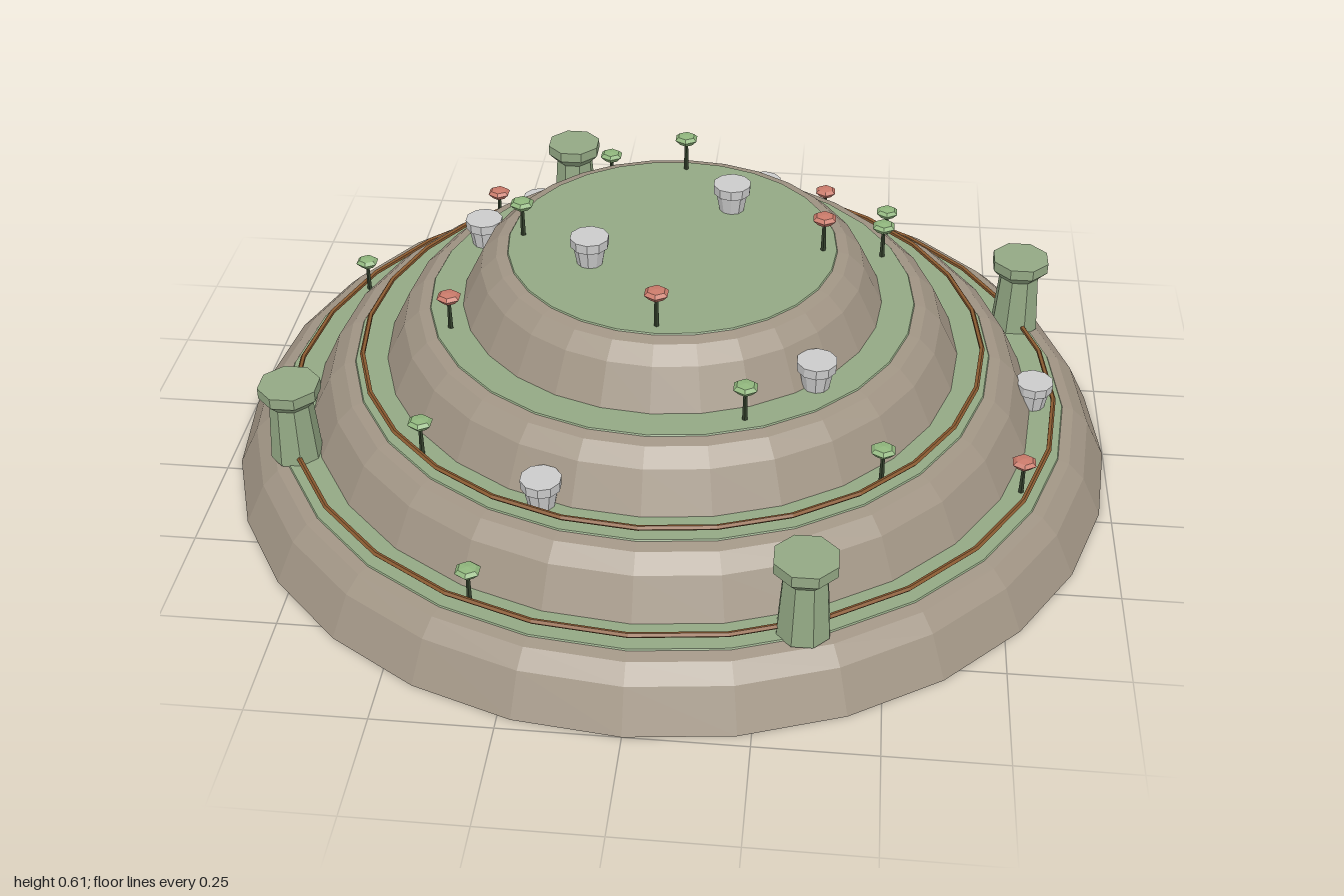
import * as THREE from 'three';

const SEGMENTS = 28;
const STEP = 0.128; // height of one tier

const mat = (color, extra = {}) => new THREE.MeshStandardMaterial({ color, flatShading: true, ...extra });
const earth = mat(0xa09484);
const grass = mat(0x93a884);
const wood = mat(0x8a5a30);
const stone = mat(0xcccccc, { side: THREE.DoubleSide });
const stemMat = mat(0x33402c);
const greenCap = mat(0x8fb57c);
const redCap = mat(0xc97a6a);

function lathe(name, points, segments, material) {
  const profile = points.map(([r, y]) => new THREE.Vector2(r, y));
  const mesh = new THREE.Mesh(new THREE.LatheGeometry(profile, segments), material);
  mesh.name = name;
  return mesh;
}

// One rounded earth step with a grass top
function makeTier(radius) {
  const tier = new THREE.Group();
  tier.name = 'tier';
  tier.add(lathe('earthBank', [
    [0, 0], [radius, 0], [radius - 0.045, 0.09], [radius - 0.08, 0.122], [radius - 0.105, STEP],
  ], SEGMENTS, earth));
  tier.add(lathe('grassTerrace', [
    [radius - 0.103, STEP - 0.004], [radius - 0.107, STEP + 0.003], [0, STEP + 0.003],
  ], SEGMENTS, grass));
  return tier;
}

// Thin rail that rings a terrace
function makeRail(radius, y) {
  const rail = new THREE.Mesh(new THREE.TorusGeometry(radius, 0.006, 5, SEGMENTS), wood);
  rail.name = 'rail';
  rail.rotation.x = Math.PI / 2;
  rail.position.y = y;
  return rail;
}

// Eight-sided watchtower with a flared head
function makeTower() {
  return lathe('tower', [
    [0, 0], [0.057, 0], [0.047, 0.14], [0.068, 0.162], [0.068, 0.187], [0, 0.187],
  ], 8, grass);
}

// Tapered pot with a thicker rim
function makePot() {
  return lathe('pot', [
    [0, 0], [0.028, 0], [0.036, 0.044], [0.042, 0.046], [0.043, 0.068], [0, 0.068],
  ], 10, stone);
}

// Slim stalk with a pointed cap
function makeFlower(capMaterial) {
  const flower = new THREE.Group();
  flower.name = 'flower';
  const stem = new THREE.Mesh(new THREE.CylinderGeometry(0.004, 0.006, 0.08, 5), stemMat);
  stem.name = 'stem';
  stem.position.y = 0.04;
  flower.add(stem, lathe('cap', [
    [0, 0.062], [0.016, 0.07], [0.028, 0.083], [0.02, 0.09], [0, 0.093],
  ], 6, capMaterial));
  return flower;
}

export function createModel() {
  const model = new THREE.Group();
  model.name = 'terracedHill';

  const place = (object, x, y, z) => {
    object.position.set(x, y, z);
    model.add(object);
    return object;
  };

  // Four stacked tiers
  [1, 0.823, 0.647, 0.47].forEach((radius, i) => place(makeTier(radius), 0, i * STEP, 0));

  // Rails on the two lowest terraces
  model.add(makeRail(0.872, 0.148), makeRail(0.7, 0.276));

  // Four towers a quarter turn apart
  for (let i = 0; i < 4; i++) {
    const a = 0.4 + i * Math.PI / 2;
    place(makeTower(), 0.868 * Math.sin(a), STEP, 0.868 * Math.cos(a)).rotation.y = a;
  }

  // Pots, a pair on each terrace: x, z
  [
    [[0.825, 0], [-0.42, -0.715]],
    [[0.17, -0.635], [-0.205, 0.62]],
    [[-0.455, -0.165], [0.335, 0.335]],
    [[0.12, -0.16], [-0.17, 0.1]],
  ].forEach((pair, i) => pair.forEach(([x, z]) => place(makePot(), x, (i + 1) * STEP, z)));

  // Flowers, four on each terrace: x, z, red
  [
    [[0.325, -0.79, 1], [-0.79, -0.33, 0], [0.785, 0.325, 1], [-0.33, 0.785, 0]],
    [[0.48, -0.48, 0], [-0.48, -0.48, 1], [-0.48, 0.48, 0], [0.48, 0.48, 0]],
    [[-0.195, -0.467, 0], [0.467, -0.195, 0], [0.195, 0.467, 0], [-0.467, 0.195, 1]],
    [[0, -0.333, 0], [-0.333, 0, 0], [0.333, 0, 1], [0, 0.333, 1]],
  ].forEach((ring, i) => ring.forEach(([x, z, red]) =>
    place(makeFlower(red ? redCap : greenCap), x, (i + 1) * STEP, z)));

  return model;
}
